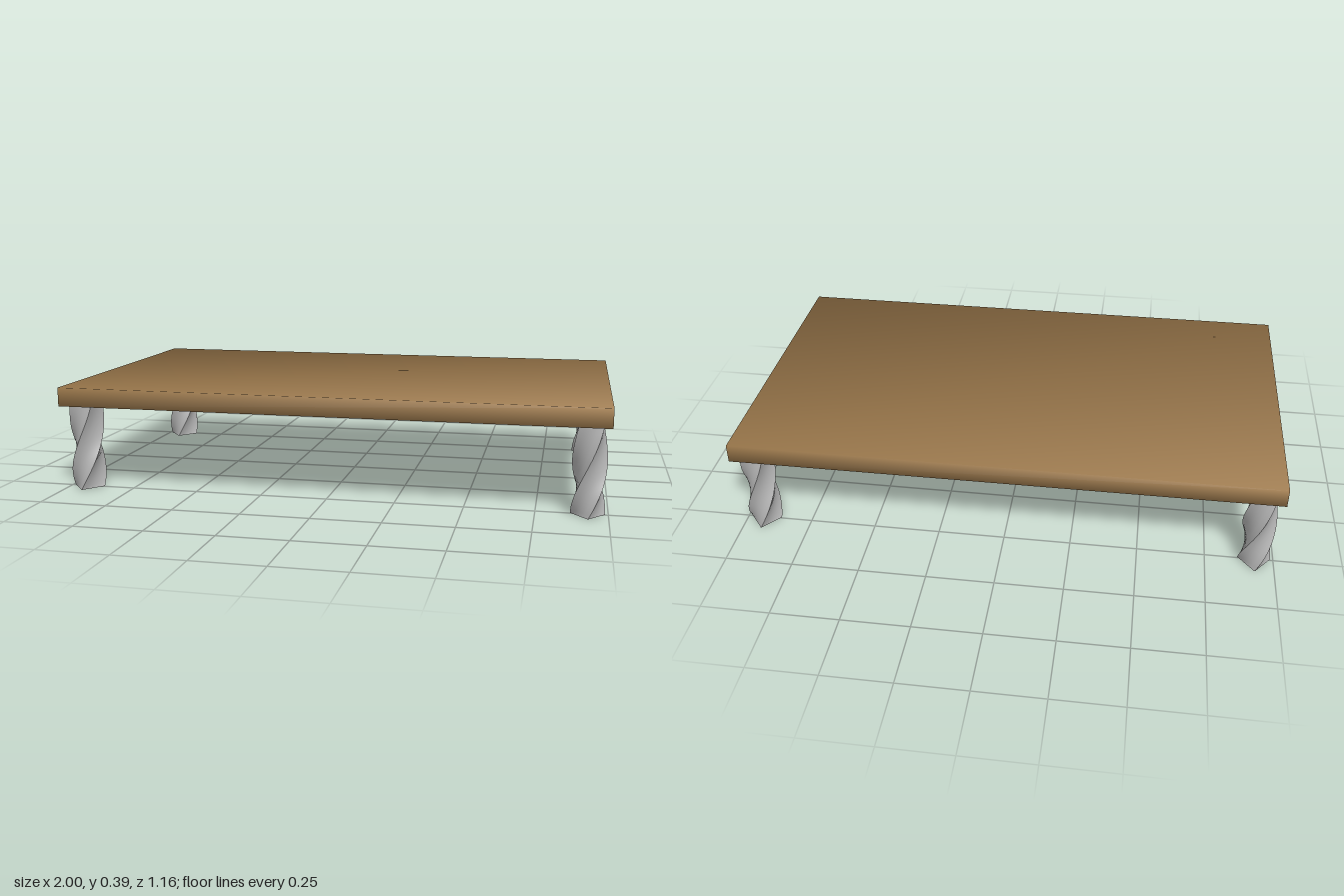
import * as THREE from 'three';

const wood = new THREE.MeshStandardMaterial({ name: 'brownWood', color: 0xa07c4e });
const metal = new THREE.MeshStandardMaterial({ name: 'greyLeg', color: 0xb4b4b4 });

const TOP_Y = 0.39, UNDER_Y = 0.32;

// Slab whose corner normals point outwards, for a softly shaded board
function softSlab(w, h, d) {
  const geo = new THREE.BoxGeometry(w, h, d);
  const pos = geo.attributes.position, v = new THREE.Vector3();
  for (let i = 0; i < pos.count; i++) {
    v.fromBufferAttribute(pos, i);
    v.set(Math.sign(v.x), Math.sign(v.y), Math.sign(v.z)).normalize();
    geo.attributes.normal.setXYZ(i, v.x, v.y, v.z);
  }
  return geo;
}

// Square post twisted about its axis, then narrowed across x
function twistedPost(side, height, turn, narrow) {
  const geo = new THREE.BoxGeometry(side, height, side, 4, 24, 4);
  geo.translate(0, height / 2, 0);
  const pos = geo.attributes.position, v = new THREE.Vector3();
  const up = new THREE.Vector3(0, 1, 0);
  for (let i = 0; i < pos.count; i++) {
    v.fromBufferAttribute(pos, i);
    v.applyAxisAngle(up, -turn * Math.pow(1 - v.y / height, 1.2));
    pos.setXYZ(i, v.x * narrow, v.y, v.z);
  }
  geo.computeVertexNormals();
  return geo;
}

export function createModel() {
  const table = new THREE.Group();
  table.name = 'lowTable';

  // Table top
  const top = new THREE.Mesh(softSlab(2, TOP_Y - UNDER_Y, 1.16), wood);
  top.name = 'tableTop';
  top.position.y = (TOP_Y + UNDER_Y) / 2;
  table.add(top);

  // Four legs, all twisted the same way
  const legGeo = twistedPost(0.102, UNDER_Y, THREE.MathUtils.degToRad(135), 0.83);
  for (const [zName, z] of [['front', 0.495], ['back', -0.495]]) {
    for (const [xName, x] of [['Left', 0.93], ['Right', -0.93]]) {
      const leg = new THREE.Mesh(legGeo, metal);
      leg.name = zName + xName + 'Leg';
      leg.position.set(x, 0, z);
      table.add(leg);
    }
  }
  return table;
}
